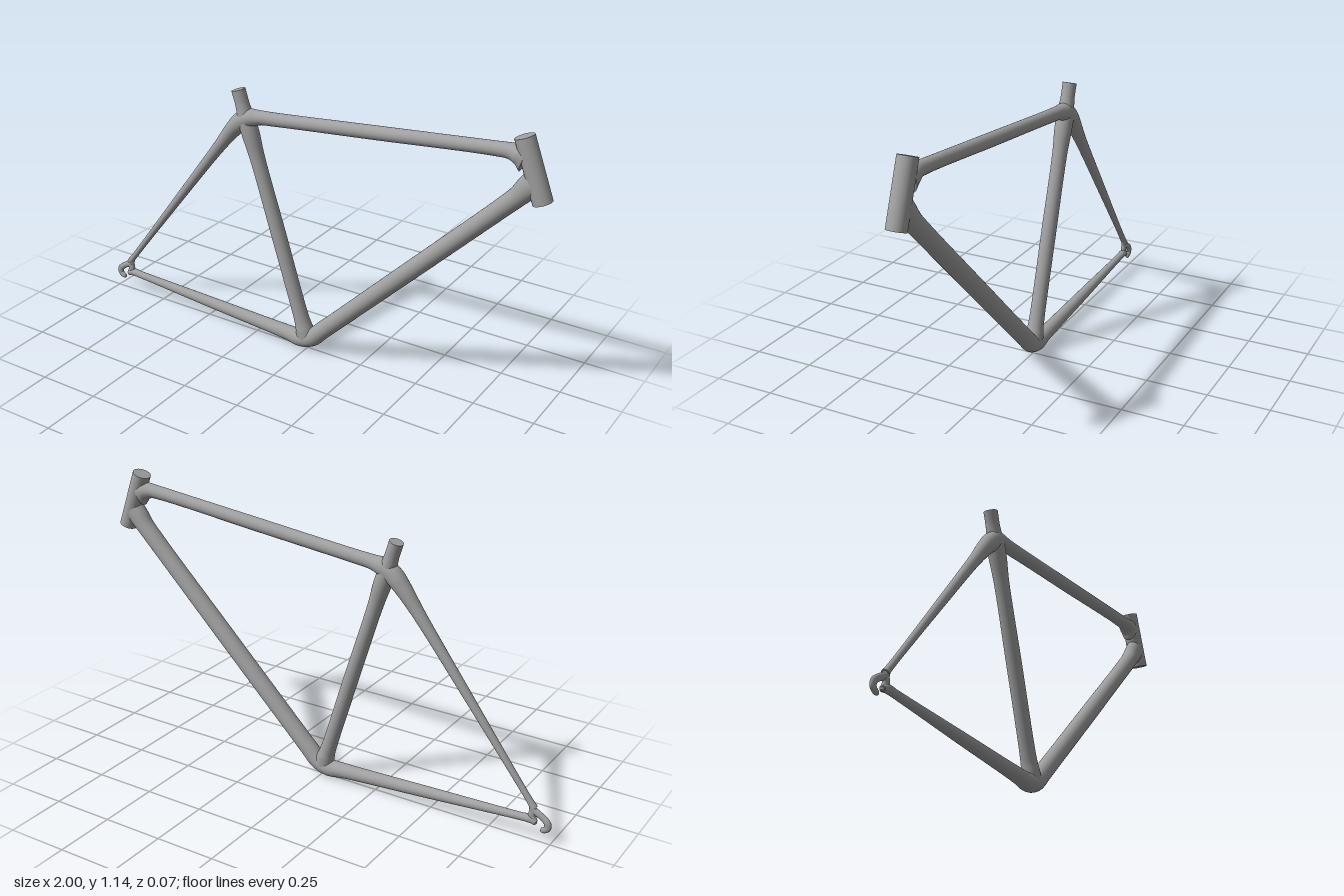
import * as THREE from 'three';

const SIDES = 28, STEPS = 8, MAX_HALF_DEPTH = 0.036;

// Smooth tube in the x-y plane; each station is [x, y, radius], with flat end caps.
function sweep(stations, depthScale = 1) {
  const curve = new THREE.CatmullRomCurve3(stations.map(s => new THREE.Vector3(...s)));
  const pts = curve.getPoints((stations.length - 1) * STEPS);
  const pos = [], idx = [];
  const rings = pts.map((p, i) => {
    const a = pts[Math.max(i - 1, 0)], b = pts[Math.min(i + 1, pts.length - 1)];
    const len = Math.hypot(b.x - a.x, b.y - a.y);
    const tx = (b.x - a.x) / len, ty = (b.y - a.y) / len;
    const rz = Math.min(p.z, MAX_HALF_DEPTH) * depthScale;
    return Array.from({ length: SIDES }, (_, j) => {
      const t = (j / SIDES) * Math.PI * 2, c = Math.cos(t) * p.z;
      return [p.x - ty * c, p.y + tx * c, Math.sin(t) * rz];
    });
  });
  rings.forEach(r => r.forEach(v => pos.push(...v)));
  for (let i = 0; i < rings.length - 1; i++) {
    for (let j = 0; j < SIDES; j++) {
      const k = (j + 1) % SIDES, a = i * SIDES, b = a + SIDES;
      idx.push(a + j, a + k, b + j, a + k, b + k, b + j);
    }
  }
  // Caps have their own vertices so their edges stay sharp
  [0, rings.length - 1].forEach((ri, end) => {
    const base = pos.length / 3, p = pts[ri];
    pos.push(p.x, p.y, 0);
    rings[ri].forEach(v => pos.push(...v));
    for (let j = 0; j < SIDES; j++) {
      const u = base + 1 + j, w = base + 1 + ((j + 1) % SIDES);
      idx.push(base, end ? u : w, end ? w : u);
    }
  });
  const g = new THREE.BufferGeometry();
  g.setAttribute('position', new THREE.Float32BufferAttribute(pos, 3));
  g.setIndex(idx);
  g.computeVertexNormals();
  return g;
}

export function createModel() {
  const group = new THREE.Group();
  group.name = 'bicycleFrame';
  const grey = new THREE.MeshStandardMaterial({ color: 0xa0a0a0 });
  grey.name = 'frameGrey';
  const add = (name, geometry) => {
    const mesh = new THREE.Mesh(geometry, grey);
    mesh.name = name;
    group.add(mesh);
    return mesh;
  };

  // Head tube, tilted back
  const top = new THREE.Vector2(0.874, 1.126), bottom = new THREE.Vector2(0.96, 0.896);
  const head = add('headTube', new THREE.CylinderGeometry(0.037, 0.037, top.distanceTo(bottom), 40));
  head.position.set((top.x + bottom.x) / 2, (top.y + bottom.y) / 2, 0);
  head.rotation.z = Math.atan2(bottom.x - top.x, top.y - bottom.y);

  // Seat tube with the stub rising above the joint
  add('seatTube', sweep([
    [-0.319, 1.058, 0.028], [-0.301, 1.0, 0.028], [-0.28, 0.93, 0.035], [-0.263, 0.88, 0.035],
    [-0.235, 0.79, 0.03], [-0.14, 0.487, 0.03], [-0.033, 0.14, 0.031], [-0.02, 0.1, 0.034], [-0.006, 0.05, 0.044],
  ]));

  // Seat stay running through the seat joint into the top tube
  add('seatStayAndTopTube', sweep([
    [-0.928, 0.136, 0.014], [-0.9, 0.172, 0.0125], [-0.631, 0.523, 0.018], [-0.42, 0.797, 0.025],
    [-0.35, 0.885, 0.033], [-0.308, 0.928, 0.038], [-0.27, 0.95, 0.037], [-0.22, 0.961, 0.029],
    [-0.14, 0.969, 0.027], [0.3, 1.012, 0.027], [0.77, 1.058, 0.027], [0.83, 1.061, 0.03],
    [0.862, 1.055, 0.039], [0.885, 1.047, 0.055],
  ]));

  // Chain stay bending at the bottom joint into the down tube
  add('chainStayAndDownTube', sweep([
    [-0.938, 0.077, 0.012], [-0.915, 0.086, 0.016], [-0.87, 0.084, 0.0155], [-0.5, 0.063, 0.023],
    [-0.1, 0.041, 0.031], [-0.03, 0.037, 0.036], [0.02, 0.055, 0.037], [0.07, 0.103, 0.036],
    [0.45, 0.481, 0.036], [0.82, 0.851, 0.036], [0.87, 0.903, 0.038], [0.905, 0.944, 0.046], [0.93, 0.965, 0.055],
  ]));

  // Rear dropout: a post between the stays and an open hook
  add('dropoutPost', sweep([
    [-0.913, 0.156, 0.012], [-0.924, 0.128, 0.015], [-0.922, 0.1, 0.015], [-0.934, 0.076, 0.012], [-0.94, 0.071, 0.004],
  ], 0.75));
  add('dropoutHook', sweep([
    [-0.918, 0.13, 0.014], [-0.942, 0.118, 0.014], [-0.965, 0.105, 0.013], [-0.984, 0.087, 0.014],
    [-0.986, 0.067, 0.013], [-0.972, 0.055, 0.012], [-0.962, 0.053, 0.009], [-0.958, 0.053, 0.002],
  ], 0.75));

  return group;
}
